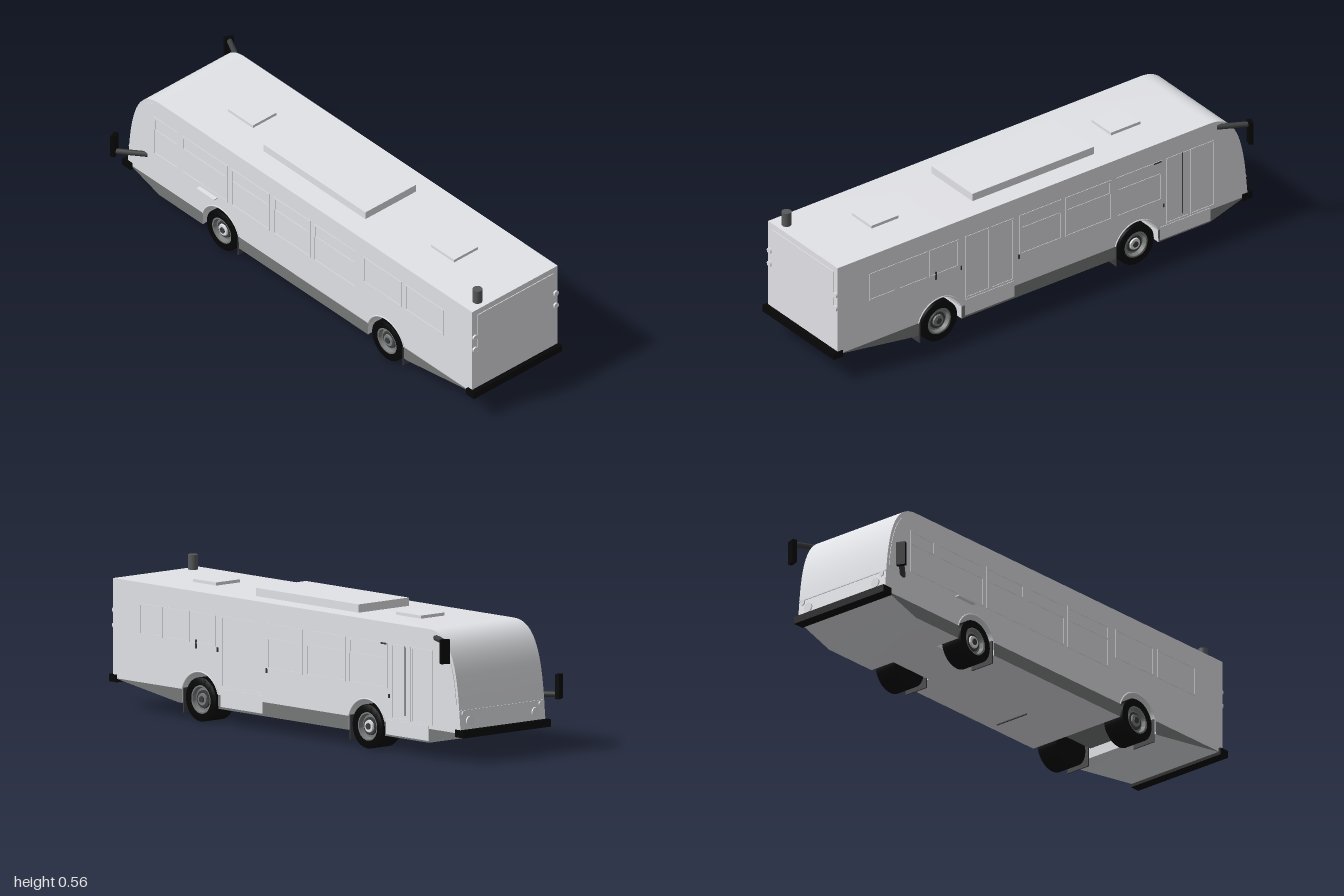
import * as THREE from 'three';
import { toCreasedNormals } from 'three/addons/utils/BufferGeometryUtils.js';

const material = (name, color) => {
  const m = new THREE.MeshStandardMaterial({ color });
  m.name = name;
  return m;
};

export function createModel() {
  const bus = new THREE.Group();
  bus.name = 'cityBus';
  const paint = material('light grey paint', 0xe3e4e8);
  const skirtGrey = material('skirt grey', 0x767878);
  const black = material('black rubber', 0x060606);
  const dark = material('dark grey', 0x3c3d3e);
  const steel = material('wheel grey', 0x7a7e7d);
  const pipeGrey = material('pipe grey', 0x58595a);

  const LEFT = 0.23, RIGHT = -0.21, MID = 0.01;
  const REAR_AXLE = 0.49, FRONT_AXLE = -0.45;

  const add = (name, geometry, mat, parent = bus) => {
    const mesh = new THREE.Mesh(geometry, mat);
    mesh.name = name;
    parent.add(mesh);
    return mesh;
  };
  // Box given by its limits on each axis
  const box = (name, x0, x1, y0, y1, z0, z1, mat) => {
    const mesh = add(name, new THREE.BoxGeometry(x1 - x0, y1 - y0, z1 - z0), mat);
    mesh.position.set((x0 + x1) / 2, (y0 + y1) / 2, (z0 + z1) / 2);
    return mesh;
  };
  // Side profile (horizontal axis is -z) extruded across x
  const slab = (name, shape, x0, x1, mat) => {
    const g = new THREE.ExtrudeGeometry(shape, { depth: x1 - x0, bevelEnabled: false, curveSegments: 20 });
    g.rotateY(Math.PI / 2);
    g.translate(x0, 0, 0);
    return add(name, toCreasedNormals(g, 0.5), mat);
  };
  const polygon = (pts) => new THREE.Shape(pts.map(([z, y]) => new THREE.Vector2(-z, y)));
  const rect = (a, b, c, d) => polygon([[b, c], [a, c], [a, d], [b, d]]);

  // Body shell with wheel arches and a curved nose
  const archR = 0.105, sill = 0.115, axleY = 0.085;
  const a = Math.asin((sill - axleY) / archR);
  const body = new THREE.Shape();
  body.moveTo(-0.98, sill);
  for (const z of [REAR_AXLE, FRONT_AXLE]) {
    body.lineTo(-z - archR * Math.cos(a), sill);
    body.absarc(-z, axleY, archR, Math.PI - a, a, true);
  }
  body.lineTo(0.98, sill);
  body.lineTo(0.972, 0.2);
  body.bezierCurveTo(0.955, 0.4, 0.91, 0.5, 0.8, 0.5);
  body.lineTo(-0.98, 0.5);
  slab('bodyShell', body, RIGHT, LEFT, paint);

  // Lower skirt: grey sides, painted floor rising towards both ends
  const skirt = [skirtGrey, paint];
  slab('rearSkirt', polygon([[0.97, sill], [0.61, 0.061], [0.593, 0.061], [0.591, sill]]), RIGHT, LEFT, skirt);
  slab('middleSkirt', polygon([[0.389, sill], [0.387, 0.061], [-0.347, 0.061], [-0.349, sill]]), RIGHT, LEFT, skirt);
  slab('frontSkirt', polygon([[-0.551, sill], [-0.553, 0.061], [-0.8, 0.061], [-0.97, sill]]), RIGHT, LEFT, skirt);
  box('frontAxleHousing', -0.1, 0.12, 0.061, 0.2, -0.56, -0.34, paint);
  box('rearAxleHousing', -0.1, 0.12, 0.105, 0.2, 0.38, 0.6, paint);
  box('rearAxleCover', -0.1, 0.12, 0.1, 0.105, 0.388, 0.592, skirtGrey);
  box('floorRod', 0.04, 0.19, 0.057, 0.061, 0.128, 0.133, dark);

  // Bumpers wrapping the corners
  box('rearBumper', -0.22, 0.233, 0.1, 0.129, 0.957, 1, black);
  box('frontBumper', -0.22, 0.233, 0.1, 0.129, -1, -0.952, black);

  // Roof equipment
  box('airConditioner', -0.117, 0.143, 0.5, 0.532, -0.31, 0.27, paint);
  box('rearHatch', -0.05, 0.073, 0.5, 0.512, 0.57, 0.7, paint);
  box('frontHatch', -0.05, 0.073, 0.5, 0.512, -0.585, -0.445, paint);
  add('exhaustPipe', new THREE.CylinderGeometry(0.019, 0.019, 0.06, 24), pipeGrey).position.set(-0.147, 0.528, 0.94);

  // Thin raised outline on one side of the body
  const trim = 0.002;
  const frame = (name, left, z0, z1, y0, y1, w = 0.006) => {
    const s = rect(z0, z1, y0, y1);
    s.holes.push(rect(z0 + w, z1 - w, y0 + w, y1 - w));
    const x = left ? LEFT : RIGHT - trim;
    slab(name, s, x, x + trim, paint);
  };
  // Door side
  const doors = [[0.255, 0.37, 0.145], [0.137, 0.25, 0.145], [-0.7, -0.59, 0.13], [-0.82, -0.705, 0.13]];
  for (const [z0, z1, y0] of doors) frame('doorLeaf', true, z0, z1, y0, 0.42);
  slab('rearDoorStep', rect(0.137, 0.372, 0.07, 0.14), LEFT, LEFT + trim, paint);
  slab('frontDoorStep', rect(-0.8, -0.56, 0.068, 0.125), LEFT, LEFT + trim, paint);
  // Dark latches and the front door seal
  const latches = [
    [0.508, 0.514, 0.28, 0.315], [0.387, 0.393, 0.28, 0.298], [0.111, 0.117, 0.23, 0.248],
    [-0.565, -0.53, 0.414, 0.42], [-0.58, -0.574, 0.21, 0.225], [-0.669, -0.665, 0.15, 0.42],
  ];
  for (const [z0, z1, y0, y1] of latches) box('latch', LEFT, LEFT + 0.003, y0, y1, z0, z1, dark);

  const windows = [
    [true, [[0.7, 0.83], [0.55, 0.69], [0.4, 0.54], [-0.09, 0.11], [-0.33, -0.11], [-0.57, -0.35]]],
    [false, [[-0.83, -0.69], [-0.67, -0.41], [-0.39, -0.17], [-0.15, 0.06], [0.08, 0.32], [0.36, 0.58], [0.6, 0.82]]],
  ];
  for (const [left, spans] of windows) {
    for (const [z0, z1] of spans) {
      const rear = z0 > 0.35;
      frame('sideWindow', left, z0, z1, rear ? 0.3 : 0.245, 0.42);
      if (!rear) frame('windowVent', left, z0 + 0.006, z1 - 0.006, 0.36, 0.414, 0.004);
    }
  }
  // Curved cab windows beside the windscreen
  for (const x of [LEFT, RIGHT - trim]) {
    const cab = new THREE.Shape();
    cab.moveTo(0.835, 0.225);
    cab.lineTo(0.957, 0.225);
    cab.bezierCurveTo(0.945, 0.36, 0.91, 0.46, 0.835, 0.48);
    slab('cabWindow', cab, x, x + trim, paint);
  }
  box('sideLedge', -0.228, RIGHT, 0.229, 0.233, -0.57, -0.47, paint);

  // Rear window, rear lamps, nose seam and headlamps
  box('rearWindow', -0.185, 0.205, 0.3, 0.475, 0.975, 0.983, paint);
  const lamp = (name, x, y, z, r) => {
    const m = add(name, new THREE.CylinderGeometry(r, r, 0.012, 24), paint);
    m.rotation.x = Math.PI / 2;
    m.position.set(x, y, z);
  };
  for (const side of [-1, 1]) {
    for (const y of [0.317, 0.375]) lamp('rearLamp', MID + side * 0.208, y, 0.981, 0.012);
    lamp('headlamp', MID + side * 0.17, 0.16, -0.975, 0.019);
    lamp('turnSignal', MID + side * 0.2, 0.19, -0.972, 0.01);
  }
  box('noseSeam', RIGHT, LEFT, 0.199, 0.203, -0.975, -0.96, paint);

  // Wheels: tyre and stepped rim are lathed, then laid along x
  const lathe = (pts) => {
    const g = new THREE.LatheGeometry(pts.map(([r, h]) => new THREE.Vector2(r, h)), 40);
    g.rotateZ(-Math.PI / 2);
    return toCreasedNormals(g, 0.6);
  };
  const tyre = lathe([[0, -0.05], [0.085, -0.05], [0.085, 0.044], [0.082, 0.046], [0.056, 0.046], [0.054, 0.03]]);
  const rim = lathe([[0.055, 0.03], [0.055, 0.044], [0.049, 0.044], [0.044, 0.028], [0, 0.028]]);
  const hub = lathe([[0.036, 0.026], [0.034, 0.034], [0, 0.034]]);
  const ring = lathe([[0.025, 0.033], [0.023, 0.04], [0, 0.04]]);
  const cap = lathe([[0.013, 0.038], [0.012, 0.044], [0, 0.044]]);
  for (const z of [REAR_AXLE, FRONT_AXLE]) {
    for (const side of [-1, 1]) {
      const wheel = new THREE.Group();
      wheel.name = (z > 0 ? 'rear' : 'front') + (side > 0 ? 'Left' : 'Right') + 'Wheel';
      add('tyre', tyre, black, wheel);
      add('rim', rim, steel, wheel);
      add('hub', hub, dark, wheel);
      add('hubRing', ring, z > 0 ? steel : paint, wheel);
      add('hubCap', cap, dark, wheel);
      wheel.position.set(MID + side * 0.171, axleY, z);
      if (side < 0) wheel.rotation.y = Math.PI;
      bus.add(wheel);

      // Arch lip and mud flap
      const lip = add('archLip', new THREE.TorusGeometry(archR + 0.002, 0.003, 6, 28, Math.PI - 2 * a), paint);
      lip.geometry.rotateZ(a);
      lip.geometry.rotateY(Math.PI / 2);
      lip.position.set(side > 0 ? LEFT : RIGHT, axleY, z);
      const inner = MID + side * 0.115, outer = MID + side * 0.219;
      box('mudFlap', Math.min(inner, outer), Math.max(inner, outer), 0.025, 0.12, z + 0.093, z + 0.098, dark);
    }
  }

  // Mirrors: slanted arm and upright plate
  const mirror = (name, from, to, y0, y1, yaw) => {
    const g = new THREE.Group();
    g.name = name;
    const path = new THREE.LineCurve3(new THREE.Vector3(...from), new THREE.Vector3(...to));
    add('mirrorArm', new THREE.TubeGeometry(path, 1, 0.011, 12), dark, g);
    const plate = add('mirrorPlate', new THREE.BoxGeometry(0.036, y1 - y0, 0.018), black, g);
    plate.position.set(to[0], (y0 + y1) / 2, to[2]);
    plate.rotation.y = yaw;
    bus.add(g);
  };
  mirror('leftMirror', [0.225, 0.47, -0.835], [0.284, 0.47, -0.95], 0.388, 0.482, -0.35);
  mirror('rightMirror', [-0.205, 0.215, -0.87], [-0.286, 0.215, -0.972], 0.198, 0.293, 0.4);

  return bus;
}
